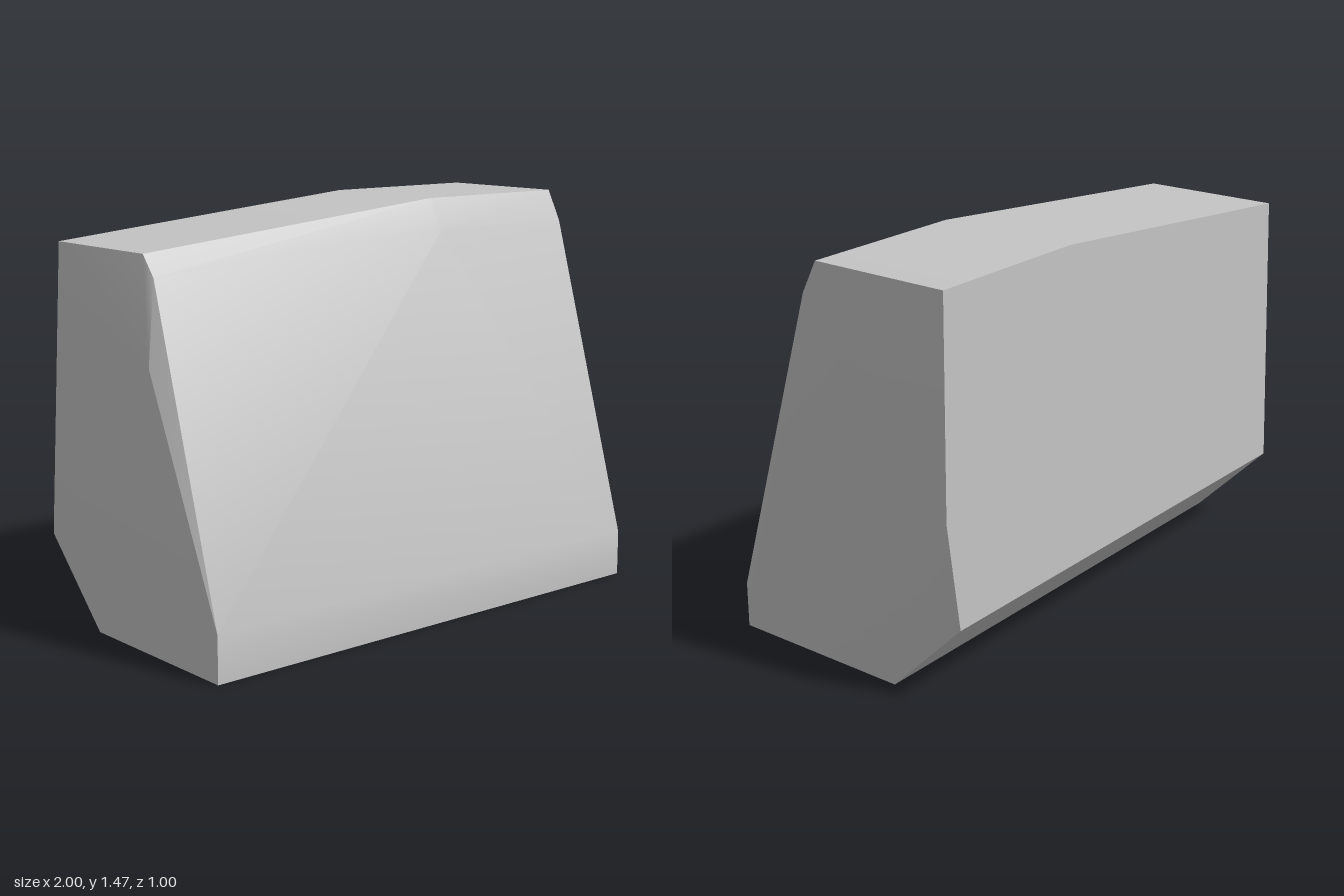
import * as THREE from 'three';
import { ConvexGeometry } from 'three/addons/geometries/ConvexGeometry.js';
import { toCreasedNormals } from 'three/addons/utils/BufferGeometryUtils.js';

export function createModel() {
  const group = new THREE.Group();
  group.name = 'wedgeBlock';
  const grey = new THREE.MeshStandardMaterial({ color: 0xc4c4c4 });
  grey.name = 'lightGrey';

  const points = [];
  const add = (x, y, z) => points.push(new THREE.Vector3(x, y, z));

  // Foot section: front lip, base and chamfered lower back edge, at both ends
  for (const x of [-1, 0.937]) {
    add(x, 0, 0.5);
    add(x, 0.17, 0.5);
    add(x, 0, -0.205);
    add(x, 0.3, -0.5);
  }

  // Crown: x, top height, height of the bevel under the front top edge
  for (const [x, top, bevel] of [[-0.94, 1.355, 1.28], [0.355, 1.472, 1.355], [1, 1.472, 1.355]]) {
    add(x, top, -0.5);
    add(x, top, 0.03);
    add(x, bevel, 0.09);
  }

  // Shoulders where the end faces bend inwards
  add(1, 0.7, -0.5);
  add(-1, 0.99, 0.14);

  const block = new THREE.Mesh(toCreasedNormals(new ConvexGeometry(points), 0.6), grey);
  block.name = 'block';
  group.add(block);
  return group;
}
